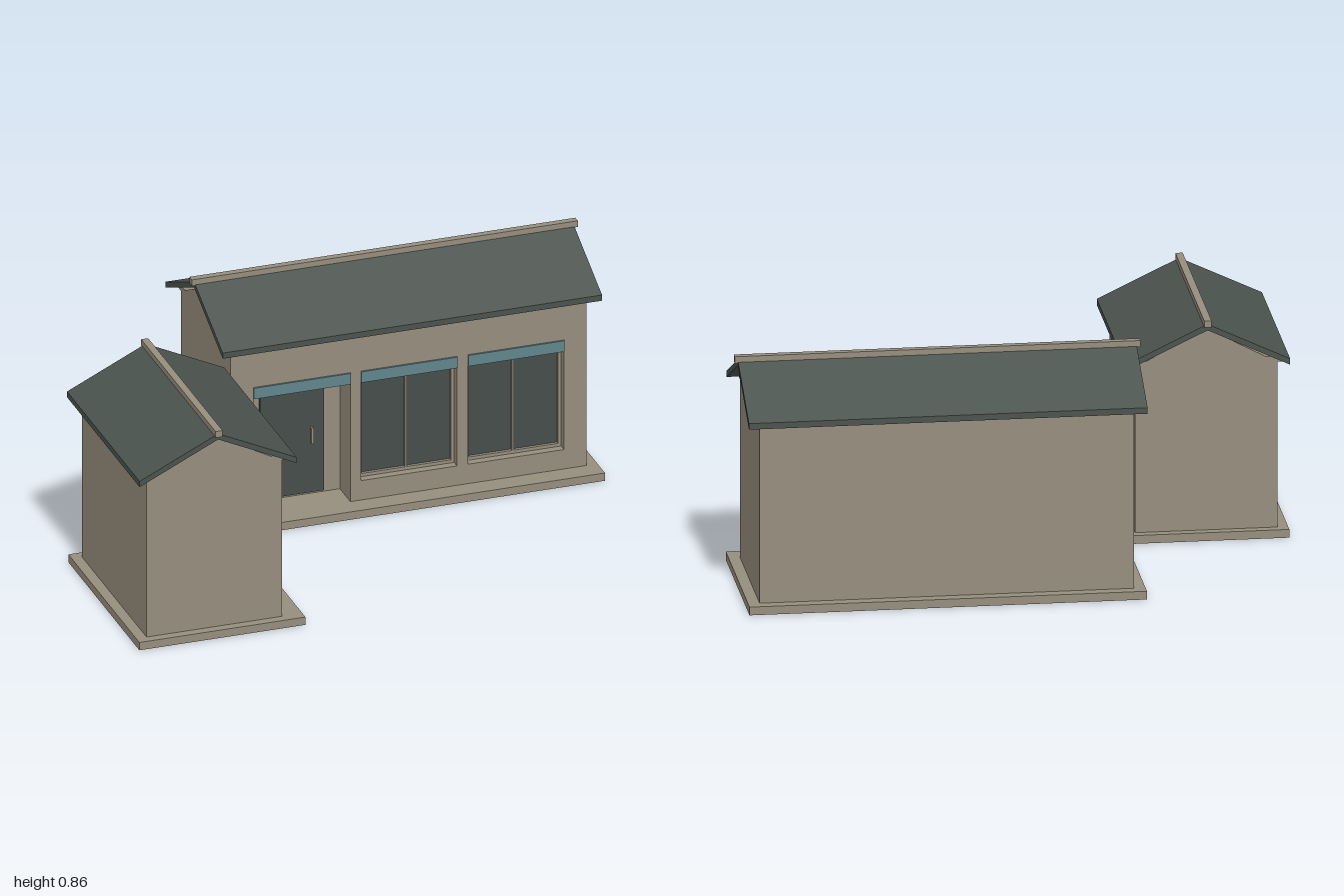
import * as THREE from 'three';

const mat = (name, color) => Object.assign(new THREE.MeshStandardMaterial({ color }), { name });

export function createModel() {
  const wall = mat('warm stone', 0x968d7d);
  const slate = mat('dark slate', 0x4b534e);
  const glass = mat('dark glass', 0x464d4a);
  const teal = mat('teal sign', 0x61858c);

  const add = (parent, name, geo, material) => {
    const m = new THREE.Mesh(geo, material);
    m.name = name;
    parent.add(m);
    return m;
  };
  // Box given by its minimum and maximum on each axis
  const box = (parent, name, x0, x1, y0, y1, z0, z1, material) => {
    const m = add(parent, name, new THREE.BoxGeometry(x1 - x0, y1 - y0, z1 - z0), material);
    m.position.set((x0 + x1) / 2, (y0 + y1) / 2, (z0 + z1) / 2);
    return m;
  };
  // Cross-section of [z, y] points, extruded along x and centred
  const prism = (parent, name, pts, half, material) => {
    const shape = new THREE.Shape(pts.map(([z, y]) => new THREE.Vector2(-z, y)));
    const geo = new THREE.ExtrudeGeometry(shape, { depth: 2 * half, bevelEnabled: false });
    geo.translate(0, 0, -half).rotateY(Math.PI / 2);
    return add(parent, name, geo, material);
  };

  const floor = 0.03, signLow = 0.487, signHigh = 0.529, recess = 0.11;

  // A gabled building whose facade faces its own +z, with its ridge along x
  function building(name, o) {
    const g = new THREE.Group();
    g.name = name;
    const { w, d, h, apex, eave, ridge, top, door } = o;

    box(g, 'basePlate', -o.baseW, o.baseW, 0, floor, o.baseBack, o.baseFront, wall);

    // Walls: solid rear block and a pierced facade
    box(g, 'rearWalls', -w, w, floor, h, -d, d - recess, wall);
    const s = new THREE.Shape();
    s.moveTo(-w, floor);
    s.lineTo(door.x0, floor);
    s.lineTo(door.x0, signLow);
    s.lineTo(door.x1, signLow);
    s.lineTo(door.x1, floor);
    s.lineTo(w, floor);
    s.lineTo(w, h);
    s.lineTo(-w, h);
    s.closePath();
    for (const [x0, x1] of o.windows) {
      const hole = new THREE.Path();
      hole.moveTo(x0, 0.105);
      hole.lineTo(x0, signLow);
      hole.lineTo(x1, signLow);
      hole.lineTo(x1, 0.105);
      hole.closePath();
      s.holes.push(hole);
    }
    const facade = new THREE.ExtrudeGeometry(s, { depth: recess, bevelEnabled: false });
    facade.translate(0, 0, d - recess);
    add(g, 'facade', facade, wall);

    // Door set back in its porch
    const back = d - recess;
    box(g, 'door', door.left, door.right, 0.04, signLow, back, back + 0.012, glass);
    box(g, 'doorHandle', door.handle - 0.004, door.handle + 0.004, 0.232, 0.293, back + 0.012, back + 0.025, wall);

    // Two-pane windows with thin frames
    for (const [x0, x1] of o.windows) {
      const z0 = d - 0.05, z1 = d - 0.03, t = 0.012, mid = (x0 + x1) / 2;
      box(g, 'windowGlass', x0, x1, 0.105, signLow, z0 - 0.01, z0 + 0.008, glass);
      for (const x of [x0, x1 - t]) box(g, 'windowFrameSide', x, x + t, 0.105, signLow, z0, z1, wall);
      box(g, 'windowFrameSill', x0, x1, 0.105, 0.105 + t, z0, z1, wall);
      box(g, 'windowMullion', mid - 0.004, mid + 0.004, 0.105, signLow, z0, z1, wall);
    }

    // Sign bands over every opening
    for (const [x0, x1] of [[door.x0, door.x1], ...o.windows])
      box(g, 'signBand', x0, x1, signLow, signHigh, d - 0.002, d + 0.007, teal);

    // Gable prism with eave boards
    const half = [[eave - 0.005, h], [eave - 0.05, h + 0.02], [d - 0.04, h + 0.02]];
    prism(g, 'gableAndEaves',
      [...half, [0, apex], ...half.map(([z, y]) => [-z, y]).reverse()], w, wall);

    // Roof slabs and ridge cap
    const t = 0.022, low = h + t;
    prism(g, 'roof', [[eave, low], [0, ridge], [-eave, low], [-eave, h], [0, ridge - t], [eave, h]], o.roofW, slate);
    box(g, 'ridgeCap', -o.capW, o.capW, top - 0.024, top, -0.013, 0.013, wall);
    return g;
  }

  const model = new THREE.Group();
  model.name = 'gabledBuildings';

  const cx = 0.2825;
  const long = building('longBuilding', {
    w: 0.6575, d: 0.26, h: 0.68, apex: 0.81, eave: 0.302, ridge: 0.84, top: 0.855,
    roofW: 0.7, capW: 0.712, baseW: 0.698, baseBack: -0.3, baseFront: 0.338,
    door: { x0: -0.29 - cx, x1: 0.068 - cx, left: -0.23 - cx, right: 0.005 - cx, handle: -0.041 - cx },
    windows: [[0.107 - cx, 0.462 - cx], [0.502 - cx, 0.857 - cx]],
  });
  long.position.set(cx, 0, -0.395);

  // The small building turns its facade towards +x
  const small = building('smallBuilding', {
    w: 0.34, d: 0.25, h: 0.635, apex: 0.767, eave: 0.29, ridge: 0.795, top: 0.81,
    roofW: 0.381, capW: 0.391, baseW: 0.373, baseBack: -0.288, baseFront: 0.325,
    door: { x0: -0.255, x1: 0.257, left: -0.117, right: 0.118, handle: 0.073 },
    windows: [],
  });
  small.rotation.y = Math.PI / 2;
  small.position.set(-0.71, 0, 0.31);

  model.add(long, small);
  return model;
}
